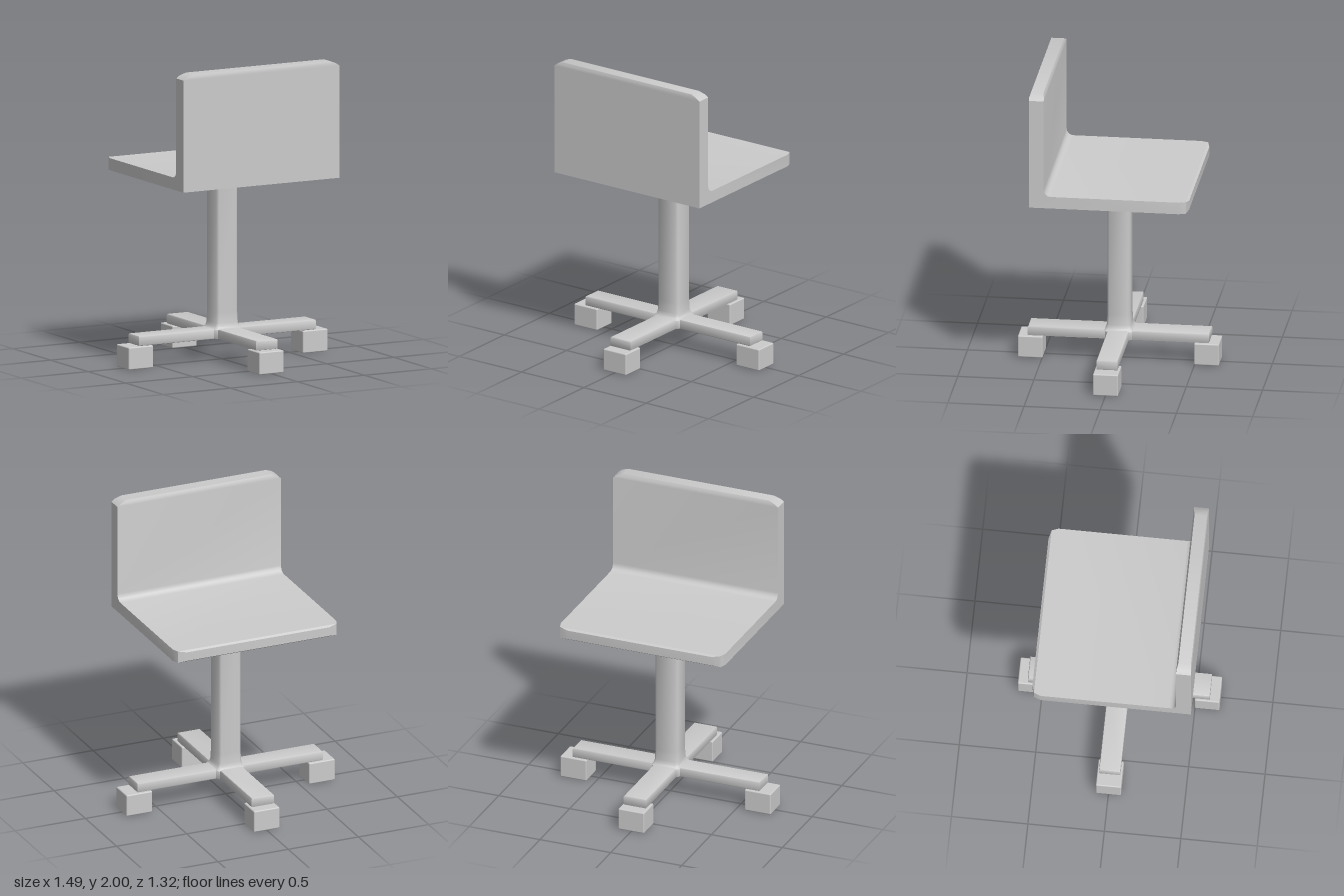
import * as THREE from 'three';
import { toCreasedNormals } from 'three/addons/utils/BufferGeometryUtils.js';
import { RoundedBoxGeometry } from 'three/addons/geometries/RoundedBoxGeometry.js';

const material = new THREE.MeshStandardMaterial({ color: 0xcccccc });

function part(name, geometry, x = 0, y = 0, z = 0) {
  const mesh = new THREE.Mesh(geometry, material);
  mesh.name = name;
  mesh.position.set(x, y, z);
  return mesh;
}

// Skin a list of equal-sized convex rings (counter-clockwise about the path) and cap both ends.
function loft(rings, crease) {
  const n = rings[0].length, last = (rings.length - 1) * n, index = [];
  for (let r = 0; r < rings.length - 1; r++) {
    for (let i = 0; i < n; i++) {
      const a = r * n + i, b = r * n + (i + 1) % n;
      index.push(a, b, b + n, a, b + n, a + n);
    }
  }
  for (let i = 1; i < n - 1; i++) {
    index.push(0, i + 1, i, last, last + i, last + i + 1);
  }
  const geometry = new THREE.BufferGeometry();
  geometry.setAttribute('position', new THREE.Float32BufferAttribute(rings.flat(2), 3));
  geometry.setIndex(index);
  return toCreasedNormals(geometry, crease);
}

// One bent slab: seat running back, filleted inner corner, then the upright backrest.
function shellGeometry() {
  const section = (w, iz, iy, oz, oy) => [[w, iy, iz], [-w, iy, iz], [-w, oy, oz], [w, oy, oz]];
  const rings = [
    section(0.51, -0.52, 1.295, -0.52, 1.235),
    section(0.565, -0.505, 1.305, -0.505, 1.225),
    section(0.582, -0.46, 1.305, -0.46, 1.225),
  ];
  const r = 0.045;
  for (let i = 0; i <= 4; i++) {
    const t = (i / 4) * Math.PI / 2;
    rings.push(section(0.582, 0.425 - r + r * Math.sin(t), 1.305 + r - r * Math.cos(t), 0.523, 1.225));
  }
  rings.push(
    section(0.582, 0.425, 1.965, 0.523, 1.965),
    section(0.56, 0.427, 1.982, 0.523, 1.982),
    section(0.515, 0.435, 2, 0.517, 2),
  );
  return loft(rings, 0.5);
}

// Square post with softened corners and a small flare at the foot.
function postGeometry() {
  const ring = (h, y) => {
    const k = h - 0.014;
    return [[k, h], [h, k], [h, -k], [k, -h], [-k, -h], [-h, -k], [-h, k], [-k, h]]
      .map(([x, z]) => [x, y, z * 0.95]);
  };
  return loft([ring(0.1, 0.21), ring(0.086, 0.226), ring(0.081, 0.25),
    ring(0.078, 0.32), ring(0.078, 1.226)], 0.9);
}

// Four-armed cross with small webs in the inner corners.
function baseGeometry() {
  const lx = 0.65, lz = 0.585, a = 0.06, b = 0.07, web = 0.025;
  const quarter = [[lx, a], [b + web, a], [b, a + web], [b, lz]];
  const flip = (sx, sy) => quarter.map(([x, y]) => new THREE.Vector2(x * sx, y * sy));
  const shape = new THREE.Shape([
    ...flip(1, 1), ...flip(-1, 1).reverse(), ...flip(-1, -1), ...flip(1, -1).reverse(),
  ]);
  const geometry = new THREE.ExtrudeGeometry(shape, {
    depth: 0.049, bevelEnabled: true, bevelSize: 0.01, bevelThickness: 0.009, bevelSegments: 2,
  });
  geometry.rotateX(-Math.PI / 2);
  return toCreasedNormals(geometry, 0.7);
}

export function createModel() {
  const model = new THREE.Group();
  model.name = 'swivelChair';
  model.add(part('seatAndBackrest', shellGeometry()));
  model.add(part('post', postGeometry()));
  model.add(part('crossBase', baseGeometry(), 0, 0.157, 0));

  // Block feet under the arm ends
  const sideFoot = new RoundedBoxGeometry(0.185, 0.148, 0.165, 2, 0.008);
  const endFoot = new RoundedBoxGeometry(0.183, 0.148, 0.163, 2, 0.008);
  for (const s of [-1, 1]) {
    model.add(part(s > 0 ? 'leftFoot' : 'rightFoot', sideFoot, s * 0.65, 0.074, 0));
    model.add(part(s > 0 ? 'frontFoot' : 'backFoot', endFoot, 0, 0.074, s * 0.578));
  }
  return model;
}
